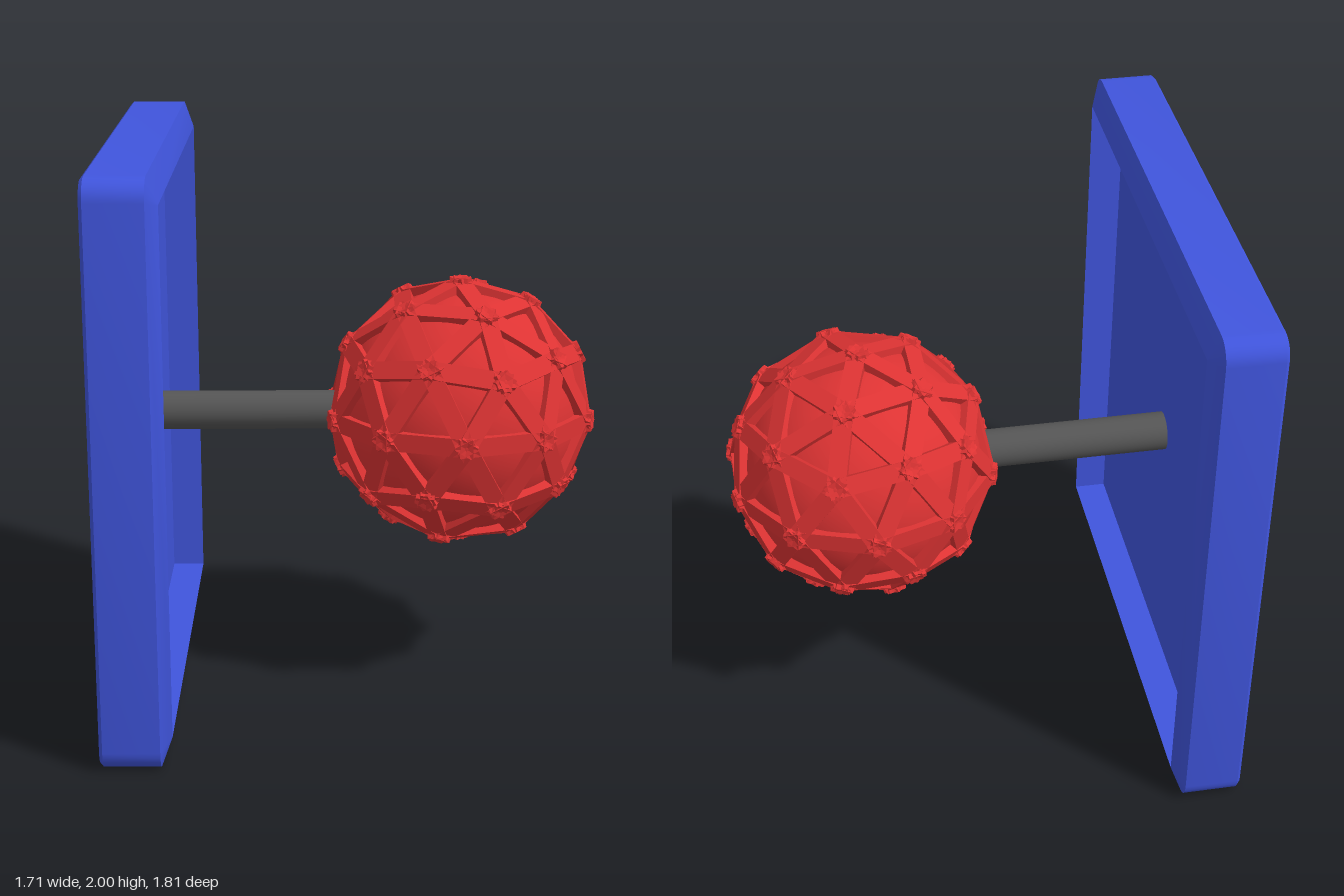
import * as THREE from 'three';
import { toCreasedNormals, mergeVertices } from 'three/addons/utils/BufferGeometryUtils.js';

const blue = new THREE.MeshStandardMaterial({ color: 0x4055dd });
const red = new THREE.MeshStandardMaterial({ color: 0xdd3333 });
const dark = new THREE.MeshStandardMaterial({ color: 0x555555 });

const CENTRE = new THREE.Vector3(0.375, 1, 0);

function addMesh(parent, name, geometry, material) {
  const mesh = new THREE.Mesh(geometry, material);
  mesh.name = name;
  parent.add(mesh);
  return mesh;
}

// Rounded rectangle in the z/y plane at a given x
function rectLoop(x, halfZ, halfY, r, steps = 6) {
  const points = [];
  [[1, 1], [-1, 1], [-1, -1], [1, -1]].forEach(([sz, sy], corner) => {
    for (let k = 0; k <= steps; k++) {
      const a = (corner + k / steps) * Math.PI / 2;
      points.push([x, 1 + sy * (halfY - r) + r * Math.sin(a), sz * (halfZ - r) + r * Math.cos(a)]);
    }
  });
  return points;
}

// Square tray: bevelled rim around a recessed floor
function trayGeometry() {
  const loops = [
    rectLoop(-0.86, 0, 0, 0),
    rectLoop(-0.86, 0.893, 0.988, 0.065),
    rectLoop(-0.848, 0.905, 1, 0.075),
    rectLoop(-0.655, 0.905, 1, 0.075),
    rectLoop(-0.62, 0.82, 0.905, 0),
    rectLoop(-0.74, 0.82, 0.905, 0),
    rectLoop(-0.74, 0, 0, 0),
  ];
  const n = loops[0].length;
  const index = [];
  for (let i = 0; i < loops.length - 1; i++) {
    for (let j = 0; j < n; j++) {
      const a = i * n + j, b = i * n + (j + 1) % n;
      index.push(a, a + n, b, b, a + n, b + n);
    }
  }
  const g = new THREE.BufferGeometry();
  g.setAttribute('position', new THREE.Float32BufferAttribute(loops.flat(2), 3));
  g.setIndex(index);
  return toCreasedNormals(mergeVertices(g), 0.4);
}

// Unit directions of the 42 lattice nodes: icosahedron corners and edge middles
function latticeNodes() {
  const corners = [new THREE.Vector3(0, 1, 0), new THREE.Vector3(0, -1, 0)];
  const h = 1 / Math.sqrt(5);
  for (let i = 0; i < 10; i++) {
    const a = i * Math.PI / 5;
    corners.push(new THREE.Vector3(2 * h * Math.cos(a), i % 2 ? -h : h, 2 * h * Math.sin(a)));
  }
  const nodes = [...corners];
  corners.forEach((p, i) => corners.slice(i + 1).forEach((q) => {
    if (p.distanceTo(q) < 1.1) nodes.push(p.clone().add(q).normalize());
  }));
  return nodes;
}

function createBall() {
  const ball = new THREE.Group();
  ball.name = 'ball';
  ball.position.copy(CENTRE);
  addMesh(ball, 'core', new THREE.SphereGeometry(0.44, 48, 32), red);

  const R = 0.463, WIDTH = 0.065, THICK = 0.04, OVERSHOOT = 0.03;
  const nodes = latticeNodes();
  const hub = new THREE.SphereGeometry(0.055, 16, 10);
  nodes.forEach((p, i) => {
    addMesh(ball, 'hub', hub, red).position.copy(p).multiplyScalar(0.432);
    // Straight flat bars between neighbouring nodes
    nodes.slice(i + 1).forEach((q) => {
      const length = p.distanceTo(q);
      if (length > 0.7) return;
      const along = q.clone().sub(p).normalize();
      const middle = p.clone().add(q).multiplyScalar(R / 2);
      const out = middle.clone().normalize();
      const side = new THREE.Vector3().crossVectors(out, along);
      const bar = addMesh(ball, 'bar',
        new THREE.BoxGeometry(length * R + 2 * OVERSHOOT, THICK, WIDTH), red);
      bar.position.copy(middle);
      bar.quaternion.setFromRotationMatrix(
        new THREE.Matrix4().makeBasis(along, out, side.negate().cross(new THREE.Vector3()).add(
          new THREE.Vector3().crossVectors(along, out))));
    });
  });
  return ball;
}

export function createModel() {
  const model = new THREE.Group();
  model.name = 'ballOnPlate';
  addMesh(model, 'plate', trayGeometry(), blue);

  // Rod from the recessed floor into the ball
  const rod = addMesh(model, 'rod', new THREE.CylinderGeometry(0.07, 0.07, 0.8, 32), dark);
  rod.rotation.z = Math.PI / 2;
  rod.position.set(-0.35, 1, 0);

  model.add(createBall());
  return model;
}
